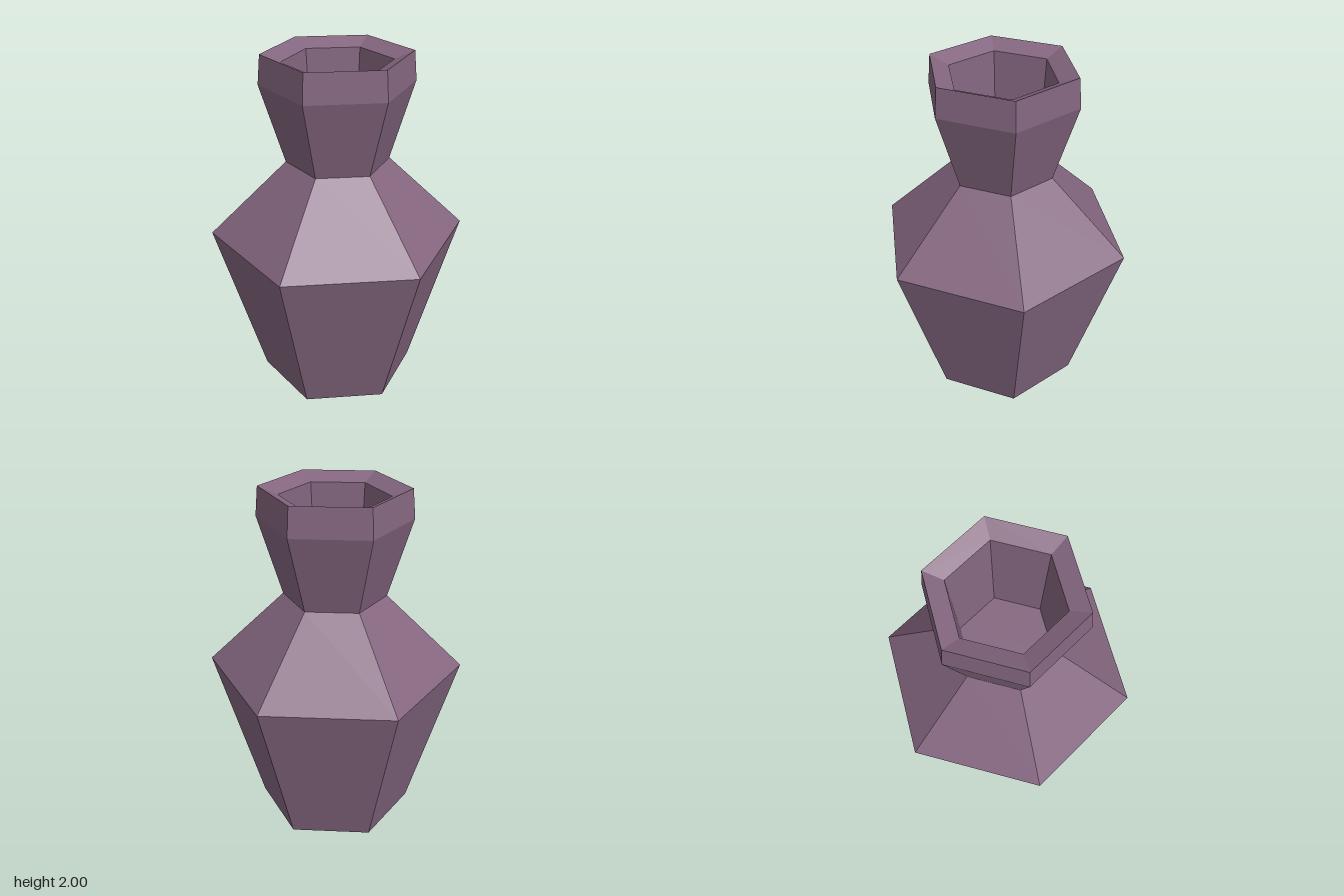
import * as THREE from 'three';

const SIDES = 6;

// Six-sided surface of revolution with corners on the z axis and hard facets.
function facetedLathe(profile) {
  const points = profile.map(([r, y]) => new THREE.Vector2(r, y));
  const geometry = new THREE.LatheGeometry(points, SIDES).toNonIndexed();
  geometry.computeVertexNormals();
  return geometry;
}

export function createModel() {
  const glaze = new THREE.MeshStandardMaterial({ color: 0x84667f, flatShading: true });
  glaze.name = 'mauve glaze';

  const parts = {
    // Closed base, tapered belly and sloping shoulder
    body: [[0, 0], [0.455, 0], [0.737, 0.955], [0.295, 1.385]],
    // Flared neck
    neck: [[0.295, 1.385], [0.432, 1.835]],
    // Lip band, bevelled into the mouth
    lip: [[0.432, 1.835], [0.417, 2], [0.307, 1.955]],
    // Narrowing inner wall and its floor
    mouth: [[0.307, 1.955], [0.262, 1.385], [0, 1.385]],
  };

  const vase = new THREE.Group();
  vase.name = 'vase';
  for (const [name, profile] of Object.entries(parts)) {
    const mesh = new THREE.Mesh(facetedLathe(profile), glaze);
    mesh.name = name;
    vase.add(mesh);
  }
  return vase;
}
